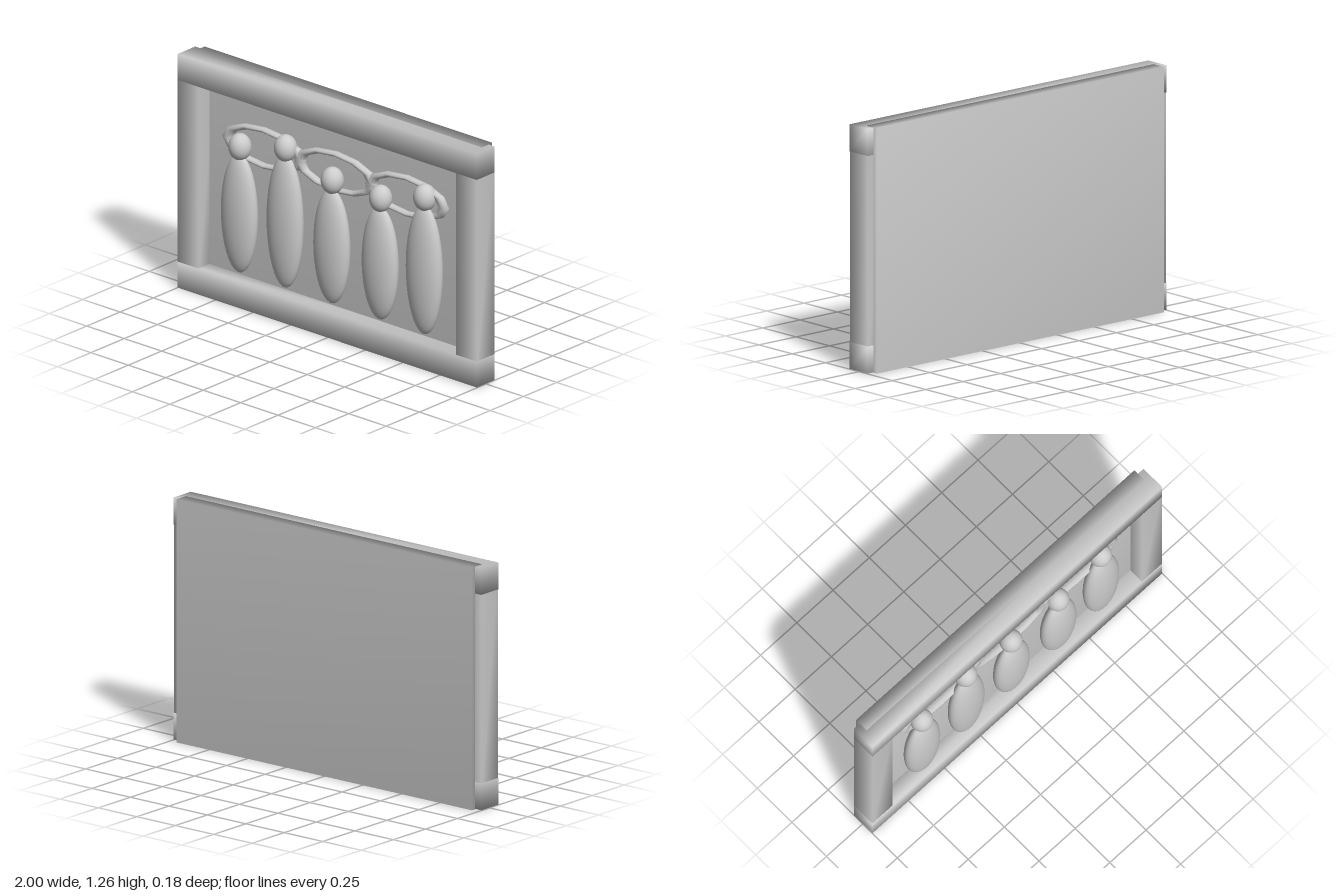
import * as THREE from 'three';
import { mergeVertices } from 'three/addons/utils/BufferGeometryUtils.js';

const stone = new THREE.MeshStandardMaterial({ color: 0xcccccc });
stone.name = 'stone grey';

// Box whose corners share normals, giving a soft, pillowy shading
function softBox(w, h, d) {
  const box = new THREE.BoxGeometry(w, h, d);
  box.deleteAttribute('normal');
  box.deleteAttribute('uv');
  const soft = mergeVertices(box);
  soft.computeVertexNormals();
  return soft;
}

function add(parent, name, geometry, x, y, z) {
  const mesh = new THREE.Mesh(geometry, stone);
  mesh.name = name;
  mesh.position.set(x, y, z);
  parent.add(mesh);
  return mesh;
}

export function createModel() {
  const model = new THREE.Group();
  model.name = 'framedRelief';

  // Back slab, slightly narrower than the frame
  add(model, 'backPanel', softBox(1.92, 1.262, 0.075), 0, 0.631, -0.0525);

  // Frame rails and posts
  const frame = new THREE.Group();
  frame.name = 'frame';
  model.add(frame);
  add(frame, 'topRail', softBox(2, 0.139, 0.135), 0, 1.1895, 0.0025);
  add(frame, 'bottomRail', softBox(2, 0.139, 0.135), 0, 0.0715, 0.0025);
  add(frame, 'leftPost', softBox(0.138, 1.16, 0.133), 0.93, 0.63, 0.0025);
  add(frame, 'rightPost', softBox(0.138, 1.16, 0.133), -0.93, 0.63, 0.0025);

  // Five raised figures: x, top of body, centre of head
  const figures = [
    [-0.62, 0.81, 0.85],
    [-0.315, 0.89, 0.925],
    [-0.003, 0.79, 0.835],
    [0.32, 0.78, 0.825],
    [0.615, 0.87, 0.91],
  ];
  const ball = new THREE.SphereGeometry(1, 32, 20);
  const base = 0.175;
  for (const [x, top, headY] of figures) {
    const figure = new THREE.Group();
    figure.name = 'figure';
    model.add(figure);
    add(figure, 'body', ball, x, (top + base) / 2, 0.03).scale.set(0.113, (top - base) / 2, 0.06);
    add(figure, 'head', ball, x, headY, 0.027).scale.set(0.059, 0.071, 0.058);
  }

  // Three linked oval rings behind the heads
  const ring = new THREE.TorusGeometry(1, 0.13, 10, 12);
  for (const x of [-0.48, 0, 0.475]) {
    add(model, 'ring', ring, x, 0.872, 0.0).scale.set(0.245, 0.097, 0.17);
  }

  return model;
}
